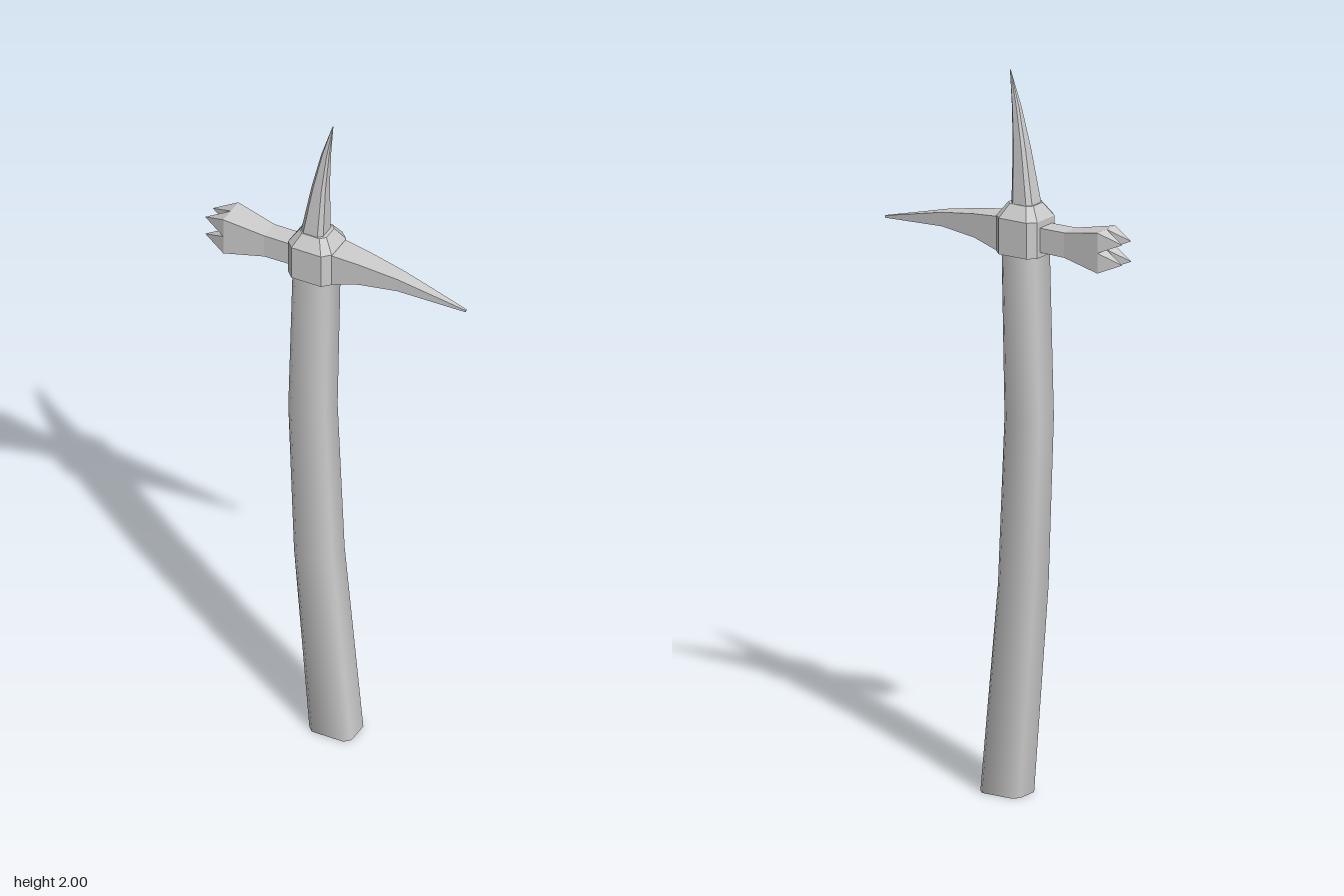
import * as THREE from 'three';
import { toCreasedNormals } from 'three/addons/utils/BufferGeometryUtils.js';

// Section: [t, u0, u1, z0, z1, chamfer]; a rectangle with optional cut corners.
function ring([t, u0, u1, z0, z1, c = 0], axis) {
  const uz = c
    ? [[u0 + c, z0], [u1 - c, z0], [u1, z0 + c], [u1, z1 - c],
       [u1 - c, z1], [u0 + c, z1], [u0, z1 - c], [u0, z0 + c]]
    : [[u0, z0], [u1, z0], [u1, z1], [u0, z1]];
  return uz.map(([u, z]) => (axis === 'y' ? [u, t, z] : [t, u, z]));
}

// Skins sections listed in ascending order along the x or y axis, with end caps.
function loft(sections, axis) {
  const rings = sections.map((s) => ring(s, axis));
  const n = rings[0].length;
  const pos = [];
  const tri = (a, b, c) => pos.push(...a, ...(axis === 'y' ? [...c, ...b] : [...b, ...c]));
  for (let k = 0; k < rings.length - 1; k++) {
    const a = rings[k], b = rings[k + 1];
    for (let i = 0; i < n; i++) {
      const j = (i + 1) % n;
      tri(a[i], a[j], b[j]);
      tri(a[i], b[j], b[i]);
    }
  }
  const first = rings[0], last = rings[rings.length - 1];
  for (let i = 1; i < n - 1; i++) {
    tri(first[0], first[i + 1], first[i]);
    tri(last[0], last[i], last[i + 1]);
  }
  const g = new THREE.BufferGeometry();
  g.setAttribute('position', new THREE.Float32BufferAttribute(pos, 3));
  g.computeVertexNormals();
  return g;
}

export function createModel() {
  const group = new THREE.Group();
  const smooth = new THREE.MeshStandardMaterial({ color: 0xcccccc });
  const flat = new THREE.MeshStandardMaterial({ color: 0xcccccc, flatShading: true });
  const add = (name, geometry, material = flat, parent = group) => {
    const mesh = new THREE.Mesh(geometry, material);
    mesh.name = name;
    parent.add(mesh);
  };

  // Bent wooden shaft with softened corners
  const handle = loft([
    [0, -0.067, 0.059, -0.05, 0.05, 0.016],
    [0.58, -0.113, 0.003, -0.05, 0.05, 0.016],
    [1.05, -0.13, -0.018, -0.05, 0.05, 0.016],
    [1.55, -0.116, -0.008, -0.05, 0.05, 0.016],
  ], 'y');
  add('handle', toCreasedNormals(handle, 0.9), smooth);

  // Collar with a sloped shoulder
  add('collar', loft([
    [1.505, -0.127, 0.003, -0.062, 0.062, 0.021],
    [1.605, -0.127, 0.003, -0.062, 0.062, 0.021],
    [1.642, -0.102, -0.022, -0.036, 0.036, 0.014],
  ], 'y'));

  // Curved top spike
  add('topSpike', loft([
    [1.635, -0.099, -0.032, -0.034, 0.034, 0.012],
    [1.79, -0.071, -0.03, -0.021, 0.021, 0.008],
    [1.9, -0.046, -0.023, -0.011, 0.011, 0.005],
    [2, -0.015, -0.013, -0.001, 0.001, 0.0004],
  ], 'y'));

  // Drooping side beak
  add('beak', loft([
    [-0.02, 1.503, 1.602, -0.042, 0.042],
    [0.003, 1.506, 1.601, -0.04, 0.04],
    [0.08, 1.527, 1.593, -0.032, 0.032],
    [0.19, 1.537, 1.576, -0.021, 0.021],
    [0.384, 1.524, 1.53, -0.003, 0.003],
  ], 'x'));

  // Flared hammer head
  const hammer = new THREE.Group();
  hammer.name = 'hammer';
  group.add(hammer);
  add('hammerHead', loft([
    [-0.32, 1.497, 1.609, -0.043, 0.043],
    [-0.205, 1.518, 1.587, -0.029, 0.029],
    [-0.1, 1.52, 1.587, -0.029, 0.029],
  ], 'x'), flat, hammer);

  // Four pyramid prongs on the hammer face
  for (const [y0, y1, tip] of [[1.497, 1.553, 1.525], [1.553, 1.609, 1.581]]) {
    for (const s of [-1, 1]) {
      const z = s * 0.0215;
      add('hammerProng', loft([
        [-0.384, tip - 0.0005, tip + 0.0005, z - 0.0005, z + 0.0005],
        [-0.32, y0, y1, z - 0.0215, z + 0.0215],
      ], 'x'), flat, hammer);
    }
  }
  return group;
}
